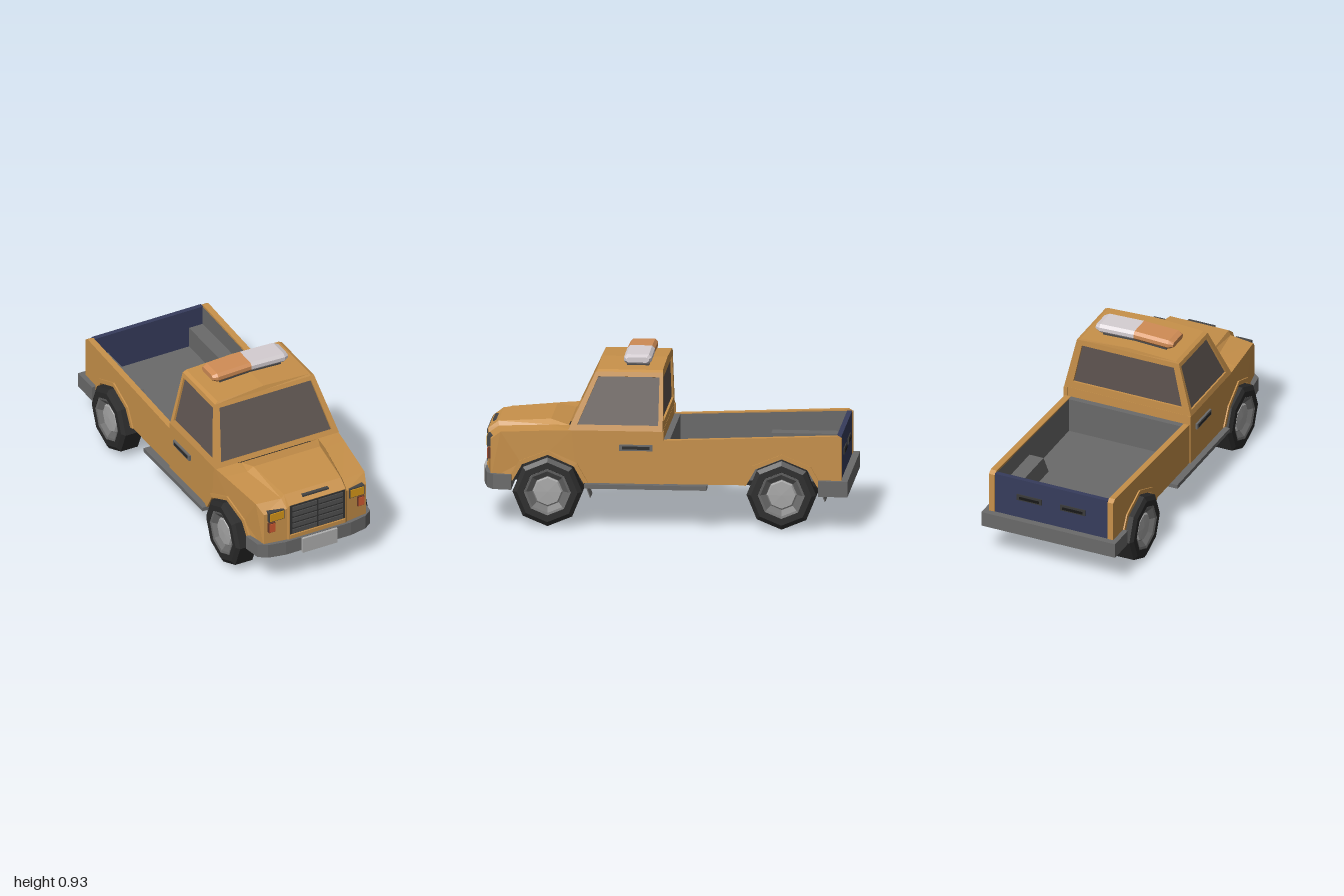
import * as THREE from 'three';

const GOLD = 0xc8914a, DARK = 0x2a2a2a, GREY = 0x6a6a6a, GLASS = 0x5e5450, BLACK = 0x222222;
const mats = {};
const mat = (color) => (mats[color] ??= new THREE.MeshStandardMaterial({ color, flatShading: true, side: THREE.DoubleSide }));

export function createModel() {
  const truck = new THREE.Group();
  const add = (name, geo, color, parent = truck) => {
    const m = new THREE.Mesh(geo, mat(color));
    m.name = name;
    parent.add(m);
    return m;
  };
  const box = (name, color, [x0, x1], [y0, y1], [z0, z1]) =>
    add(name, new THREE.BoxGeometry(x1 - x0, y1 - y0, z1 - z0), color)
      .position.set((x0 + x1) / 2, (y0 + y1) / 2, (z0 + z1) / 2);

  // Faces from corner quads (counter-clockwise)
  const quads = (list) => {
    const pos = list.flatMap(([a, b, c, d]) => [a, b, c, a, c, d].flat());
    const g = new THREE.BufferGeometry();
    g.setAttribute('position', new THREE.Float32BufferAttribute(pos, 3));
    g.computeVertexNormals();
    return g;
  };
  // Skin over rows of points
  const strip = (rows) => {
    const list = [];
    for (let i = 0; i < rows.length - 1; i++)
      for (let j = 0; j < rows[i].length - 1; j++)
        list.push([rows[i][j], rows[i][j + 1], rows[i + 1][j + 1], rows[i + 1][j]]);
    return quads(list);
  };

  // Body half width along the length, narrowing to the nose
  const halfWidth = (z) => z <= 0.5 ? 0.38
    : z <= 0.89 ? 0.38 - 0.045 * (z - 0.5) / 0.39
    : 0.335 - 0.02 * (z - 0.89) / 0.055;

  // Side panel cut out of a (z, y) outline with an eight-sided wheel arch
  const arch = (cz, r) => [14, 45, 90, 135, 166].map((d) => {
    const a = d * Math.PI / 180;
    return [cz + r * Math.cos(a), 0.19 + r * Math.sin(a)];
  });
  const panel = (name, pts, side, width, t) => {
    const shape = new THREE.Shape(pts.map(([z, y]) => new THREE.Vector2(z, y)));
    const g = new THREE.ExtrudeGeometry(shape, { depth: t, bevelEnabled: false }).rotateY(-Math.PI / 2);
    const p = g.attributes.position;
    for (let i = 0; i < p.count; i++) {
      const w = width(p.getZ(i));
      p.setX(i, side > 0 ? p.getX(i) + w : p.getX(i) + t - w);
    }
    g.computeVertexNormals();
    return add(name, g, GOLD);
  };
  const bedWidth = () => 0.372;
  for (const s of [1, -1]) {
    panel('frontSidePanel', [[0, 0.24], [0, 0.53], [0.5, 0.53], [0.6, 0.525], [0.89, 0.505], [0.945, 0.46],
      [0.945, 0.24], ...arch(0.63, 0.21)], s, halfWidth, 0.02);
    panel('bedSidePanel', [[-0.965, 0.24], [-0.965, 0.505], [-0.94, 0.52], [0, 0.48], [0, 0.24],
      ...arch(-0.64, 0.21)], s, bedWidth, 0.035);
    // Raised lips round the wheel arches
    for (const [cz, w] of [[0.63, halfWidth], [-0.64, bedWidth]])
      panel('wheelArchLip', [...arch(cz, 0.225), ...arch(cz, 0.2).reverse()], s, (z) => w(z) + 0.008, 0.03);
  }

  // Hood with a raised centre, folding down into the front face
  const hoodRow = (z, yo, xb, yb, xt, yt) => {
    const xo = halfWidth(z - 0.02);
    const half = [[xo, yo, z - 0.02], [xb, yb, z], [xt, yt, z + 0.006]];
    return [...half.map(([x, y, q]) => [-x, y, q]), ...half.reverse()];
  };
  add('hood', strip([
    hoodRow(0.965, 0.26, 0.185, 0.26, 0.175, 0.26),
    hoodRow(0.965, 0.46, 0.185, 0.47, 0.175, 0.49),
    hoodRow(0.91, 0.505, 0.19, 0.508, 0.175, 0.532),
    hoodRow(0.62, 0.525, 0.24, 0.53, 0.205, 0.555),
    hoodRow(0.52, 0.53, 0.25, 0.53, 0.225, 0.53),
  ]), GOLD);

  // Cab faces: gold frame, reveal and recessed glass
  const framed = (name, corners, u0, u1, v0, v1) => {
    const [bl, br, tr, tl] = corners.map((c) => new THREE.Vector3(...c));
    const at = (u, v) => bl.clone().lerp(br, u).lerp(tl.clone().lerp(tr, u), v);
    const n = br.clone().sub(bl).cross(tl.clone().sub(bl)).normalize();
    const inner = [at(u0, v0), at(u1, v0), at(u1, v1), at(u0, v1)];
    const deep = inner.map((p) => p.clone().addScaledVector(n, -0.012).toArray());
    const rim = inner.map((p) => p.toArray());
    const faces = [];
    for (let i = 0; i < 4; i++) {
      const k = (i + 1) % 4;
      faces.push([corners[i], corners[k], rim[k], rim[i]], [rim[i], rim[k], deep[k], deep[i]]);
    }
    add(name + 'Frame', quads(faces), GOLD);
    add(name, quads([deep]), GLASS);
  };
  const low = (s, z) => [s * 0.38, 0.53, z], high = (s, z) => [s * 0.305, 0.842, z];
  framed('windshield', [low(-1, 0.52), low(1, 0.52), high(1, 0.375), high(-1, 0.375)], 0.045, 0.955, 0.08, 0.93);
  framed('rearWindow', [low(1, 0.005), low(-1, 0.005), high(-1, 0.01), high(1, 0.01)], 0.06, 0.94, 0.14, 0.9);
  framed('leftWindow', [low(1, 0.52), low(1, 0.005), high(1, 0.01), high(1, 0.375)], 0.07, 0.95, 0.1, 0.92);
  framed('rightWindow', [low(-1, 0.005), low(-1, 0.52), high(-1, 0.375), high(-1, 0.01)], 0.05, 0.93, 0.1, 0.92);
  box('cabBackWall', GOLD, [-0.375, 0.375], [0.25, 0.532], [0.004, 0.02]);

  // Slightly crowned roof
  const roofRow = (z, flat) => [-0.305, -0.285, 0, 0.285, 0.305].map((x, i) =>
    [x, flat ? 0.842 : [0.842, 0.852, 0.865, 0.852, 0.842][i], z]);
  add('roof', strip([roofRow(0.375, true), roofRow(0.367), roofRow(0.012), roofRow(0.01, true)]), GOLD);

  // Roof light bar, one half amber and one half white
  box('lightBarBase', 0x4a4a4a, [-0.19, 0.19], [0.845, 0.88], [0.095, 0.215]);
  const ring = (x, y, h, d) => [[1, -0.4], [1, 0.4], [0.8, 1], [-0.8, 1], [-1, 0.4], [-1, -0.4], [-0.8, -1], [0.8, -1], [1, -0.4]]
    .map(([a, b]) => [x, y + b * h, 0.155 + a * d]);
  for (const [s, color, name] of [[-1, 0xd08c55, 'amberLight'], [1, 0xd6cfd3, 'whiteLight']]) {
    const rows = [ring(0, 0.9, 0.026, 0.075), ring(s * 0.205, 0.893, 0.026, 0.075),
      ring(s * 0.232, 0.893, 0.014, 0.062), ring(s * 0.232, 0.893, 0, 0)];
    add(name, strip(s > 0 ? rows.reverse() : rows), color);
  }

  // Underbody and engine bay
  box('underbody', BLACK, [-0.345, 0.345], [0.236, 0.262], [-0.95, 0.3]);
  box('frontUnderbody', BLACK, [-0.31, 0.31], [0.236, 0.262], [0.3, 0.94]);
  box('engineBay', BLACK, [-0.27, 0.27], [0.25, 0.44], [0.38, 0.9]);

  // Load bed
  box('bedFloor', GREY, [-0.34, 0.34], [0.262, 0.28], [-0.945, 0]);
  box('bedFrontWall', GREY, [-0.34, 0.34], [0.27, 0.478], [-0.03, 0.003]);
  const wellShape = new THREE.Shape([[-0.945, 0.27], [-0.46, 0.27], [-0.53, 0.4], [-0.945, 0.4]]
    .map(([z, y]) => new THREE.Vector2(z, y)));
  for (const s of [1, -1]) {
    add('bedLiner', quads([[[s * 0.334, 0.27, 0], [s * 0.334, 0.27, -0.945], [s * 0.334, 0.512, -0.945], [s * 0.334, 0.476, 0]]]), GREY);
    const well = new THREE.ExtrudeGeometry(wellShape, { depth: 0.085, bevelEnabled: false }).rotateY(-Math.PI / 2);
    add('wheelWell', well, GREY).position.x = s > 0 ? 0.335 : -0.25;
  }

  // Tailgate with two handle slots
  box('tailgate', 0x363c5c, [-0.338, 0.338], [0.25, 0.512], [-0.962, -0.935]);
  for (const s of [1, -1]) {
    box('tailgateHandle', 0x3a3a3a, [s * 0.13 - 0.075, s * 0.13 + 0.075], [0.385, 0.42], [-0.968, -0.96]);
    box('tailgateHandleSlot', 0x181818, [s * 0.13 - 0.06, s * 0.13 + 0.06], [0.393, 0.408], [-0.971, -0.966]);
  }

  // Bumpers and number plate
  box('rearBumper', GREY, [-0.4, 0.4], [0.19, 0.275], [-1, -0.93]);
  for (const s of [1, -1]) box('rearBumperEnd', GREY, [s * 0.385 - 0.015, s * 0.385 + 0.015], [0.19, 0.275], [-0.93, -0.84]);
  const plan = [[0.362, 0.83], [0.348, 0.93], [0.3, 0.965], [0.2, 0.985]];
  const bumperShape = new THREE.Shape([...plan, ...plan.map(([x, z]) => [-x, z]).reverse()]
    .map(([x, z]) => new THREE.Vector2(x, z)));
  add('frontBumper', new THREE.ExtrudeGeometry(bumperShape, { depth: 0.082, bevelEnabled: false })
    .rotateX(Math.PI / 2), GREY).position.y = 0.272;
  box('numberPlate', 0xb0b0b0, [-0.105, 0.11], [0.18, 0.27], [0.98, 1]);

  // Grille: dark recess, frame and two columns of slats
  box('grille', 0x343434, [-0.17, 0.17], [0.305, 0.488], [0.95, 0.974]);
  box('grilleSill', GOLD, [-0.17, 0.17], [0.283, 0.3], [0.95, 0.978]);
  for (let i = 0; i < 5; i++)
    for (const s of [1, -1]) {
      const y = 0.322 + i * 0.036;
      box('grilleSlat', 0x505050, [s * 0.08 - 0.075, s * 0.08 + 0.075], [y - 0.012, y + 0.012], [0.96, 0.979]);
    }
  box('hoodVent', 0x444444, [-0.08, 0.08], [0.508, 0.518], [0.92, 0.954]);

  for (const s of [1, -1]) {
    // Lamps
    const lamp = (name, color, cx, w, y, z) => box(name, color, [s * cx - w, s * cx + w], y, z);
    lamp('headlightFrame', 0x444444, 0.247, 0.047, [0.415, 0.474], [0.93, 0.966]);
    lamp('headlight', 0xd8981a, 0.247, 0.041, [0.421, 0.468], [0.95, 0.971]);
    lamp('indicatorFrame', 0x6a3a28, 0.274, 0.02, [0.346, 0.405], [0.93, 0.964]);
    lamp('indicator', 0xd05a30, 0.274, 0.017, [0.35, 0.401], [0.94, 0.968]);
    // Door handles, side steps and mud flaps
    lamp('doorHandle', GREY, 0.384, 0.008, [0.424, 0.456], [0.06, 0.24]);
    lamp('doorHandleGrip', DARK, 0.387, 0.008, [0.432, 0.448], [0.075, 0.225]);
    lamp('sideStep', GREY, 0.375, 0.037, [0.215, 0.238], [-0.235, 0.43]);
    for (const z of [0.415, -0.86]) {
      const flap = add('mudFlap', new THREE.BoxGeometry(0.11, 0.09, 0.006), GREY);
      flap.position.set(s * 0.315, 0.2, z);
      flap.rotation.x = 0.35;
    }
  }

  // Eight-sided wheels: tyre, recessed rim and hub
  const lathe = (pts) => new THREE.LatheGeometry(pts.map(([r, y]) => new THREE.Vector2(r, y)), 8);
  const tyre = lathe([[0, -0.06], [0.15, -0.06], [0.165, -0.065], [0.19, -0.055], [0.19, 0.05], [0.165, 0.065], [0.13, 0.065], [0.122, 0.045]]);
  const rim = lathe([[0.132, 0.055], [0.128, 0.063], [0.115, 0.06], [0.085, 0.035], [0.075, 0.035]]);
  const hub = lathe([[0.085, 0.03], [0.075, 0.047], [0, 0.05]]);
  for (const [x, z] of [[0.343, 0.63], [-0.343, 0.63], [0.326, -0.64], [-0.355, -0.64]]) {
    const wheel = new THREE.Group();
    wheel.name = z > 0 ? 'frontWheel' : 'rearWheel';
    add('tyre', tyre, DARK, wheel);
    add('rim', rim, GREY, wheel);
    add('hub', hub, 0xa8a8a8, wheel);
    wheel.position.set(x, 0.19, z);
    wheel.rotation.z = -Math.sign(x) * Math.PI / 2;
    truck.add(wheel);
  }
  return truck;
}
